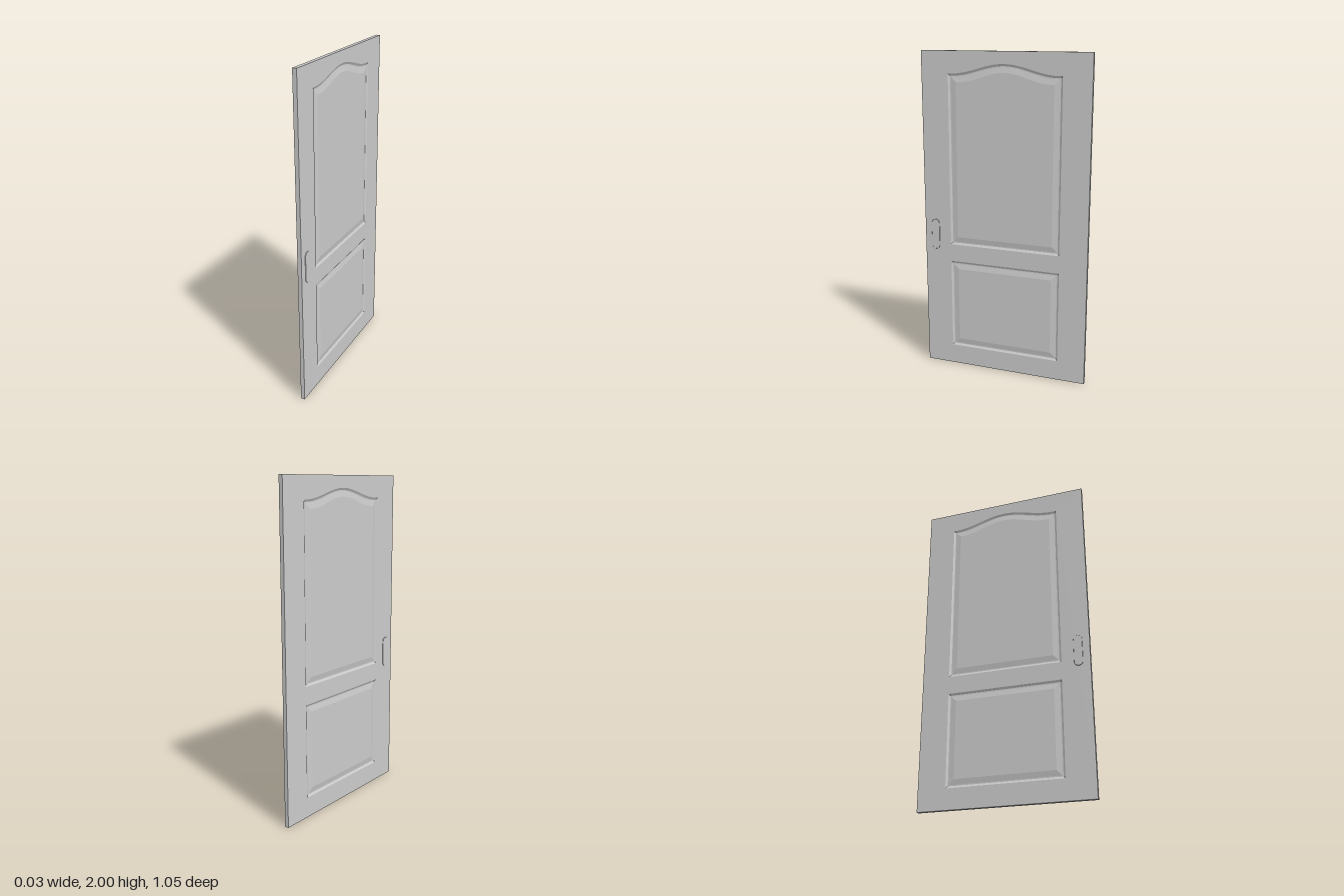
import * as THREE from 'three';

const W = 0.527, H = 2, T = 0.0125; // half width, height, half thickness
const material = new THREE.MeshStandardMaterial({ color: 0xcccccc, flatShading: true });
const PANELS = [
  { name: 'upperPanel', bottom: 0.81, top: 1.867, arch: 0.06, half: 0.355 },
  { name: 'lowerPanel', bottom: 0.125, top: 0.70, arch: 0, half: 0.355 },
];

// Counter-clockwise panel outline, drawn in by a given inset
function outline(p, inset) {
  const half = p.half - inset, n = p.arch ? 36 : 1;
  const pts = [[-half, p.bottom + inset], [half, p.bottom + inset]];
  for (let i = 0; i <= n; i++) {
    const u = half * (1 - 2 * i / n);
    const t = Math.min(1, Math.abs(u) / (half * 0.94));
    pts.push([u, p.top - inset + p.arch * (0.5 + 0.5 * Math.cos(Math.PI * t))]);
  }
  return pts.map(([x, y]) => new THREE.Vector2(x, y));
}

// Moulded face: a sunk groove, then a bevel rising to the flat field
function panelFace(p) {
  const rings = [[0, T], [0.012, T - 0.007], [0.018, T - 0.007], [0.05, T - 0.001]]
    .map(([inset, z]) => outline(p, inset).map(v => [v.x, v.y, z]));
  const n = rings[0].length, index = [];
  for (let r = 0; r < rings.length - 1; r++) {
    for (let i = 0; i < n; i++) {
      const a = r * n + i, b = r * n + (i + 1) % n;
      index.push(a, b, b + n, a, b + n, a + n);
    }
  }
  const last = (rings.length - 1) * n;
  const field = rings[rings.length - 1].map(v => new THREE.Vector2(v[0], v[1]));
  for (const f of THREE.ShapeUtils.triangulateShape(field, [])) index.push(...f.map(i => i + last));
  const geo = new THREE.BufferGeometry();
  geo.setAttribute('position', new THREE.Float32BufferAttribute(rings.flat(2), 3));
  geo.setIndex(index);
  const flat = geo.toNonIndexed();
  flat.computeVertexNormals();
  return flat;
}

function add(parent, geo, name) {
  const mesh = new THREE.Mesh(geo, material);
  mesh.name = name;
  parent.add(mesh);
  return mesh;
}

export function createModel() {
  const model = new THREE.Group();
  model.name = 'door';
  const leaf = new THREE.Group();
  leaf.name = 'doorLeaf';
  leaf.rotation.y = Math.PI / 2; // drawn in XY, turned so the faces look along x
  model.add(leaf);

  // Frame with an opening for each panel
  const frame = new THREE.Shape([[-W, 0], [W, 0], [W, H], [-W, H]].map(([x, y]) => new THREE.Vector2(x, y)));
  for (const p of PANELS) frame.holes.push(new THREE.Path(outline(p, 0).reverse()));
  const frameGeo = new THREE.ExtrudeGeometry(frame, { depth: 2 * T, bevelEnabled: false });
  add(leaf, frameGeo.translate(0, 0, -T), 'frame');

  // Panels on both faces
  for (const p of PANELS) {
    const geo = panelFace(p);
    add(leaf, geo, p.name + 'Right');
    add(leaf, geo, p.name + 'Left').rotation.y = Math.PI;
  }

  // Rounded pull plates standing slightly proud of both faces
  const r = 0.0265, y0 = 0.772 + r, y1 = 0.965 - r;
  const pill = new THREE.Shape();
  pill.absarc(0, y1, r, 0, Math.PI);
  pill.absarc(0, y0, r, Math.PI, 2 * Math.PI);
  const plate = new THREE.ExtrudeGeometry(pill, {
    depth: 0.003, curveSegments: 16, bevelThickness: 0.001, bevelSize: 0.001, bevelOffset: -0.001, bevelSegments: 1,
  });
  for (const side of [1, -1]) {
    const mesh = add(leaf, plate, side > 0 ? 'handlePlateRight' : 'handlePlateLeft');
    mesh.position.set(-0.457, 0, side * (T - 0.001));
    if (side < 0) mesh.rotation.y = Math.PI;
  }
  return model;
}
